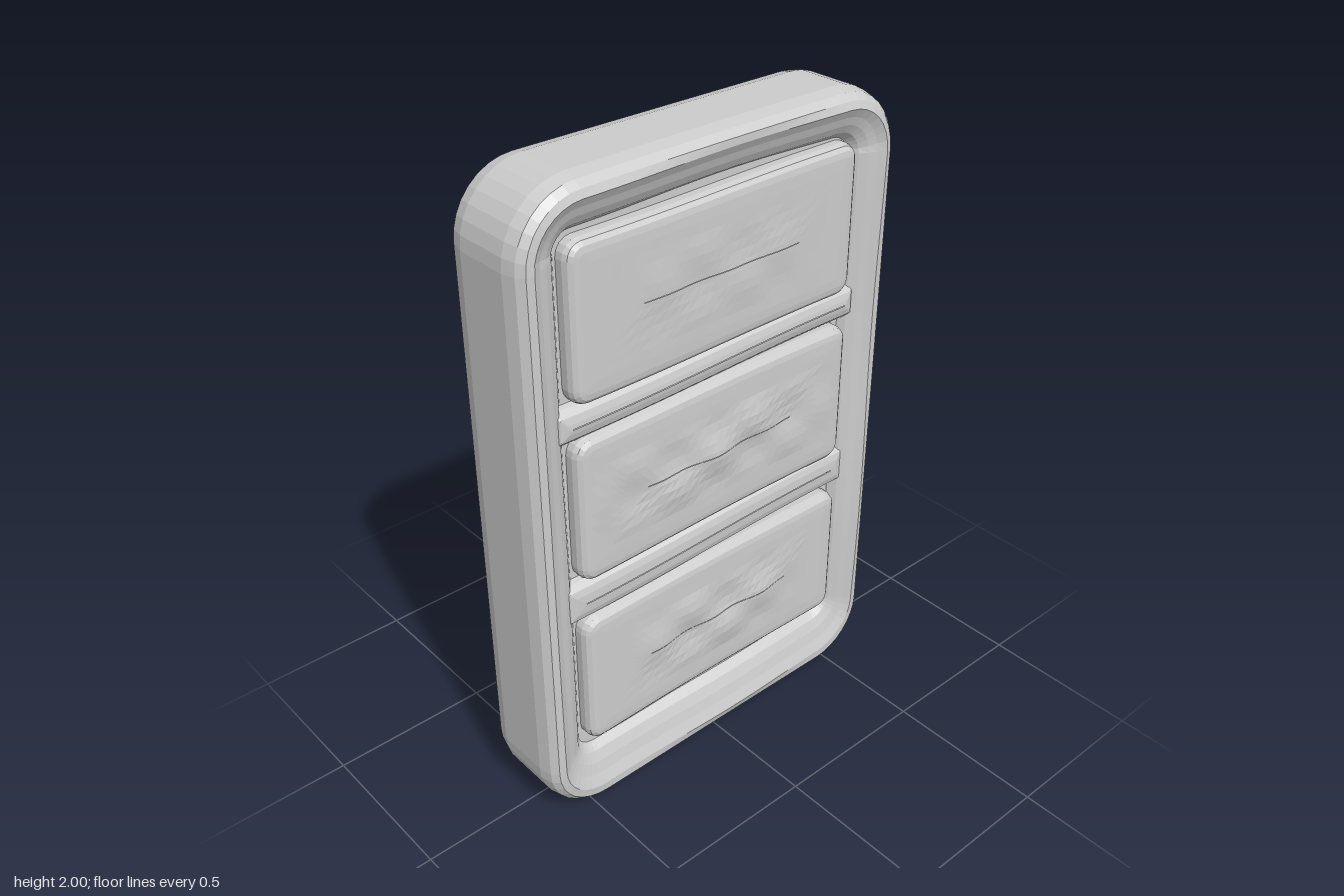
import * as THREE from 'three';

const material = new THREE.MeshStandardMaterial({ color: 0xcccccc, flatShading: true });

// Counter-clockwise outline of a rounded rectangle centred on the origin
function outline(w, h, r, nx, ny, nc) {
  const pts = [];
  const x = w / 2 - r, y = h / 2 - r;
  const corners = [[x, -y], [x, y], [-x, y], [-x, -y]];
  corners.forEach(([cx, cy], k) => {
    const point = (i) => {
      const a = (k - 1 + i / nc) * Math.PI / 2;
      return [cx + r * Math.cos(a), cy + r * Math.sin(a)];
    };
    for (let i = 0; i <= nc; i++) pts.push(point(i));
    // subdivide the straight run to the next corner
    const n = k % 2 ? nx : ny;
    const [ex, ey] = point(nc);
    const [qx, qy] = corners[(k + 1) % 4];
    const dx = qx - cx, dy = qy - cy;
    for (let i = 1; i < n; i++) pts.push([ex + dx * i / n, ey + dy * i / n]);
  });
  return pts;
}

// Lofts [inset, z] section steps around a rounded rectangle, then warps each vertex
function ringLoft({ w, h, r, y, section, warp, nx = 18, ny = 12, nc = 6, minR = 0.02 }) {
  const pos = [], index = [];
  let n = 0;
  for (const [inset, z] of section) {
    const ww = w - 2 * inset, hh = h - 2 * inset;
    const rr = Math.min(Math.max(r - inset, minR), ww / 2, hh / 2);
    const loop = outline(ww, hh, rr, nx, ny, nc);
    n = loop.length;
    for (const [px, py] of loop) {
      const v = new THREE.Vector3(px, py + y, z);
      if (warp) warp(v, inset);
      pos.push(v.x, v.y, v.z);
    }
  }
  for (let j = 0; j < section.length - 1; j++) {
    for (let i = 0; i < n; i++) {
      const a = j * n + i, b = j * n + (i + 1) % n;
      index.push(a, b, b + n, a, b + n, a + n);
    }
  }
  const g = new THREE.BufferGeometry();
  g.setAttribute('position', new THREE.Float32BufferAttribute(pos, 3));
  g.setIndex(index);
  g.computeVertexNormals();
  return g;
}

export function createModel() {
  const model = new THREE.Group();
  const add = (name, options) => {
    const mesh = new THREE.Mesh(ringLoft(options), material);
    mesh.name = name;
    model.add(mesh);
  };

  // Soft, slightly uneven outer frame; the lower rail is wider on the front
  add('frame', {
    w: 1.31, h: 2, r: 0.2, y: 1, nx: 20, ny: 28, nc: 8,
    section: [
      [0.09, -0.135], [0.07, -0.15], [0.05, -0.158], [0.03, -0.15], [0.012, -0.13], [0, -0.085],
      [0, 0.085], [0.01, 0.125], [0.028, 0.145], [0.05, 0.15], [0.075, 0.135], [0.1, 0.125],
      [0.125, 0.11], [0.145, 0.085],
    ],
    warp: (v, inset) => {
      if (v.z > 0.08 && inset > 0.04) {
        if (v.y < 0.4) v.y += (inset - 0.04) * 0.7 * (1 - v.y / 0.4);
        v.z += 0.005 * Math.sin(v.x * 7 + 1) * Math.cos(v.y * 5);
      }
      if (v.y > 1.8 && v.z > 0.05) v.z -= 0.012 * Math.cos(v.x * 2.4);
    },
  });

  // Flat back, set just inside the rim
  add('backPanel', {
    w: 1.19, h: 1.88, r: 0.07, y: 1,
    section: [[0.595, -0.146], [0, -0.146]],
  });

  // Recessed floor behind the front panels
  add('recessFloor', {
    w: 1.08, h: 1.76, r: 0.06, y: 1.03,
    section: [[0, 0.085], [0.54, 0.085]],
  });

  // Rounded cross rails that rise gently toward one side
  const rails = [[1.335, 0.12], [0.76, 0.15]];
  for (const [y, h] of rails) {
    add('crossRail', {
      w: 1.12, h, r: 0.02, y, ny: 4, nc: 3, minR: 0.004,
      section: [[0, 0.08], [0.008, 0.1], [0.025, 0.118], [0.045, 0.124], [h / 2 - 0.001, 0.126]],
      warp: (v) => { v.y += 0.008 * Math.sin(v.x * 4); },
    });
  }

  // Three raised panels with roughly hewn centres
  const panels = [[1.615, 0.46, 0.008], [1.055, 0.46, 0.018], [0.4625, 0.46, 0.02]];
  panels.forEach(([y, h, amount], k) => {
    const section = [[0, 0.07], [0, 0.11], [0.006, 0.125], [0.018, 0.134], [0.035, 0.137]];
    for (let d = 0.065; d < h / 2; d += 0.03) section.push([d, 0.138]);
    section.push([h / 2 - 0.0005, 0.138]);
    add('frontPanel', {
      w: 1.01, h, r: 0.05, y, section, nx: 22, ny: 8, nc: 4, minR: 0.0005,
      warp: (v, inset) => {
        v.x += 0.005;
        if (inset < 0.06) {
          v.y += 0.004 * Math.sin(v.x * 5 + k);
          return;
        }
        const reach = k === 1 ? 0.5 : 0.36;
        const fade = Math.max(0, 1 - (v.x / reach) ** 2) * Math.max(0, 1 - ((v.y - y) / 0.14) ** 2);
        v.z += amount * fade * (0.35 + 0.65 * Math.sin(v.x * 21 + k * 2) * Math.cos(v.y * 24 + v.x * 9));
      },
    });
  });

  return model;
}
